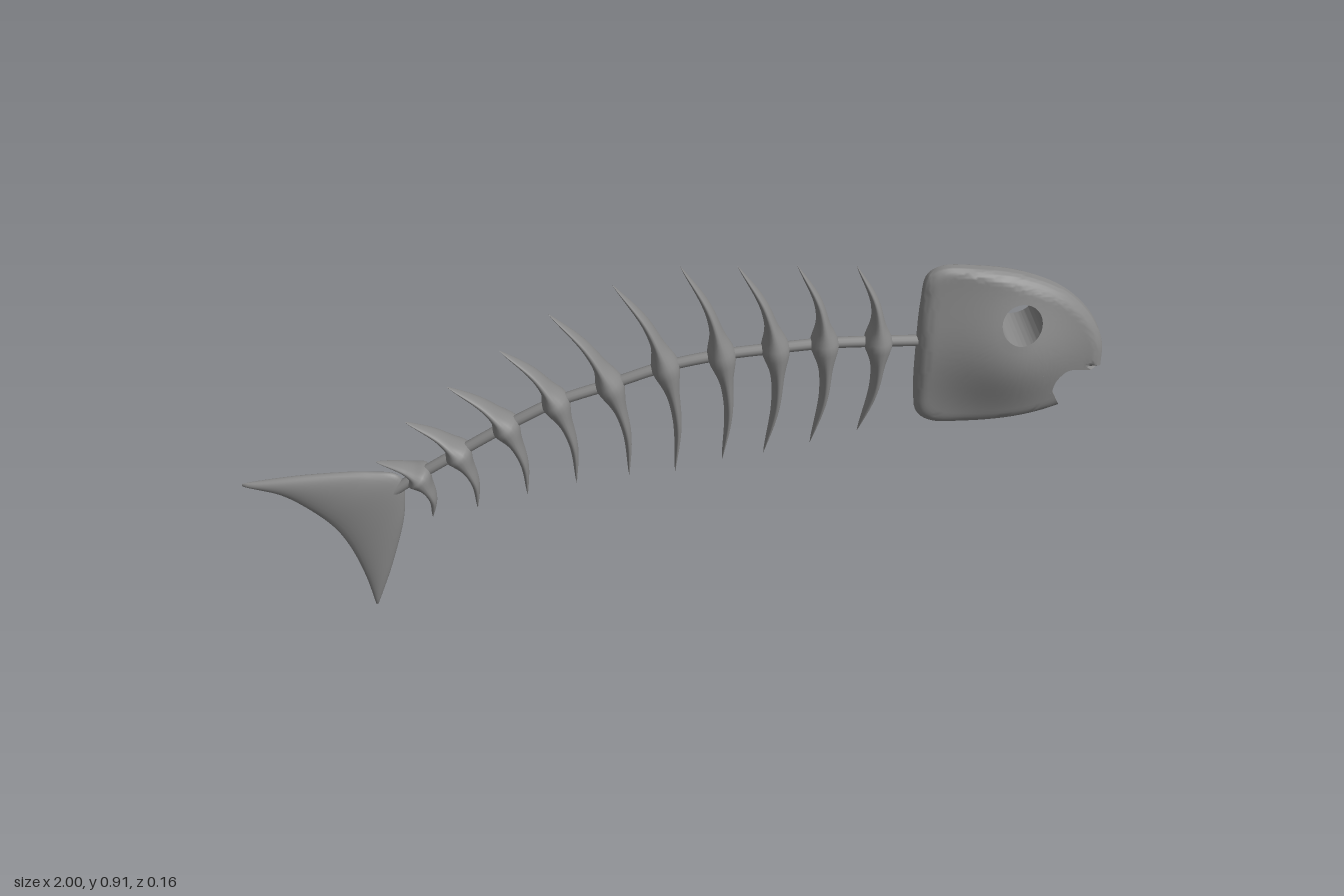
import * as THREE from 'three';
import { toCreasedNormals } from 'three/addons/utils/BufferGeometryUtils.js';

const bone = new THREE.MeshStandardMaterial({ color: 0x888888 });
bone.name = 'bone grey';

const spline = (pts) => new THREE.CatmullRomCurve3(pts.map(([x, y]) => new THREE.Vector3(x, y, 0)));

// Skin a list of closed rings; wrap also joins the last ring to the first
function skin(rings, wrap = false) {
  const n = rings[0].length, index = [];
  for (let i = 0; i < rings.length - (wrap ? 0 : 1); i++) {
    const i2 = (i + 1) % rings.length;
    for (let j = 0; j < n; j++) {
      const k = (j + 1) % n;
      const a = i * n + j, b = i2 * n + j, c = i * n + k, d = i2 * n + k;
      index.push(a, b, c, c, b, d);
    }
  }
  const geo = new THREE.BufferGeometry();
  geo.setAttribute('position', new THREE.Float32BufferAttribute(rings.flat(2), 3));
  geo.setIndex(index);
  geo.computeVertexNormals();
  return geo;
}

// Oval ring spanning edge points a and b, with half depth hz
function oval(a, b, hz, sides = 20) {
  return Array.from({ length: sides }, (_, j) => {
    const t = -j / sides * Math.PI * 2, c = Math.cos(t) / 2;
    return [(a.x + b.x) / 2 + c * (a.x - b.x), (a.y + b.y) / 2 + c * (a.y - b.y), Math.sin(t) * hz];
  });
}

function part(name, geo) {
  const mesh = new THREE.Mesh(geo, bone);
  mesh.name = name;
  return mesh;
}

// Skull: a bulging plate spread from the eye hole to the outline, with sheer eye and mouth walls
function skullGeometry() {
  const eye = { x: 0.789, y: 0.762, r: 0.046 };
  const outer = spline([
    [0.996, 0.618], [0.992, 0.68], [0.96, 0.752], [0.89, 0.822], [0.785, 0.868], [0.68, 0.886], [0.605, 0.888],
    [0.574, 0.868], [0.564, 0.8], [0.561, 0.69], [0.563, 0.56], [0.573, 0.505], [0.605, 0.481], [0.68, 0.477],
    [0.80, 0.487], [0.87, 0.501], [0.907, 0.513],
  ]).getSpacedPoints(120);
  const mouth = spline([
    [0.907, 0.513], [0.888, 0.54], [0.879, 0.568], [0.885, 0.604], [0.91, 0.627], [0.95, 0.622], [0.996, 0.618],
  ]).getSpacedPoints(30);
  const rim = outer.map((p) => ({ p, open: 0 }));
  mouth.slice(1, -1).forEach((p, k) => rim.push({ p, open: Math.min(1, 2.5 * Math.sin(Math.PI * (k + 1) / 30)) }));

  const bulge = (v, mid) => 0.25 + 0.75 * Math.exp(-(((v - mid) / 0.14) ** 2));
  const rows = 20, front = [];
  for (let i = 0; i <= rows; i++) {
    const t = Math.sin(i / rows * Math.PI / 2);
    front.push(rim.map(({ p, open }) => {
      const a = Math.atan2(p.y - eye.y, p.x - eye.x);
      const hx = eye.x + eye.r * Math.cos(a), hy = eye.y + eye.r * Math.sin(a);
      const x = hx + (p.x - hx) * t, y = hy + (p.y - hy) * t;
      const d = Math.min(1, (1 - t) * Math.hypot(p.x - hx, p.y - hy) / 0.035);
      const round = Math.max(open, Math.sqrt(1 - (1 - d) ** 2));
      return [x, y, round * Math.hypot(0.018, 0.079 * bulge(x, 0.78) * bulge(y, 0.67))];
    }));
  }
  const back = front.map((ring) => ring.map(([x, y, z]) => [x, y, -z])).reverse();
  return toCreasedNormals(skin([...front, ...back], true), 0.8);
}

// Rib: a curved blade from upper tip through the vertebra to lower tip
function ribGeometry(top, mid, low) {
  const between = (a, b, push) => [(a[0] + b[0]) / 2 + push, (a[1] + b[1]) / 2];
  const curve = spline([top, between(top, mid, 0.018), mid, between(mid, low, 0.016), low]);
  const rings = [], steps = 40;
  for (let i = 0; i <= steps; i++) {
    const u = i / steps, s = Math.abs(2 * u - 1);
    const c = curve.getPoint(u), t = curve.getTangent(u);
    const n = new THREE.Vector3(-t.y, t.x, 0);
    const w = 0.018 * (1 - s) ** 0.8 + 0.015 * Math.exp(-((s / 0.17) ** 2));
    const hz = 0.047 * (1 - s) ** 0.75;
    rings.push(oval(c.clone().addScaledVector(n, w), c.clone().addScaledVector(n, -w), hz));
  }
  return skin(rings);
}

// Tail fin: ovals strung between the leading and trailing edges
function tailGeometry() {
  const lead = spline([[-0.999, 0.376], [-0.85, 0.391], [-0.70, 0.393], [-0.634, 0.378],
    [-0.628, 0.29], [-0.665, 0.137], [-0.712, 0.003]]);
  const trail = spline([[-0.999, 0.368], [-0.91, 0.338], [-0.835, 0.28], [-0.795, 0.235],
    [-0.765, 0.18], [-0.735, 0.09], [-0.717, 0.003]]);
  const rings = [], steps = 60;
  for (let i = 0; i <= steps; i++) {
    const u = i / steps;
    rings.push(oval(lead.getPoint(u), trail.getPoint(u), 0.024 * Math.sqrt(Math.max(0, Math.sin(Math.PI * u))), 28));
  }
  return skin(rings);
}

export function createModel() {
  const model = new THREE.Group();
  model.name = 'fishSkeleton';
  model.add(part('skull', skullGeometry()));

  const path = spline([[0.60, 0.697], [0.47, 0.70], [0.35, 0.70], [0.24, 0.692], [0.115, 0.68], [-0.013, 0.655],
    [-0.14, 0.612], [-0.265, 0.57], [-0.38, 0.51], [-0.495, 0.441], [-0.59, 0.382], [-0.66, 0.333]]);
  model.add(part('spine', new THREE.TubeGeometry(path, 80, 0.013, 12)));

  // Upper tip, vertebra and lower tip of each rib, head to tail
  const ribs = [
    [[0.414, 0.90], [0.473, 0.70], [0.436, 0.457]],
    [[0.281, 0.906], [0.35, 0.70], [0.326, 0.428]],
    [[0.147, 0.911], [0.238, 0.692], [0.217, 0.404]],
    [[0.019, 0.916], [0.115, 0.68], [0.12, 0.388]],
    [[-0.131, 0.874], [-0.013, 0.655], [0.01, 0.361]],
    [[-0.275, 0.805], [-0.14, 0.612], [-0.098, 0.356]],
    [[-0.388, 0.714], [-0.265, 0.57], [-0.222, 0.34]],
    [[-0.511, 0.623], [-0.382, 0.51], [-0.338, 0.313]],
    [[-0.612, 0.532], [-0.495, 0.441], [-0.457, 0.281]],
    [[-0.687, 0.425], [-0.59, 0.382], [-0.564, 0.26]],
  ];
  const cage = new THREE.Group();
  cage.name = 'ribs';
  ribs.forEach((r, i) => cage.add(part(`rib${i + 1}`, ribGeometry(...r))));
  model.add(cage);

  const tail = part('tailFin', tailGeometry());
  tail.position.z = -0.004;
  model.add(tail);
  return model;
}
